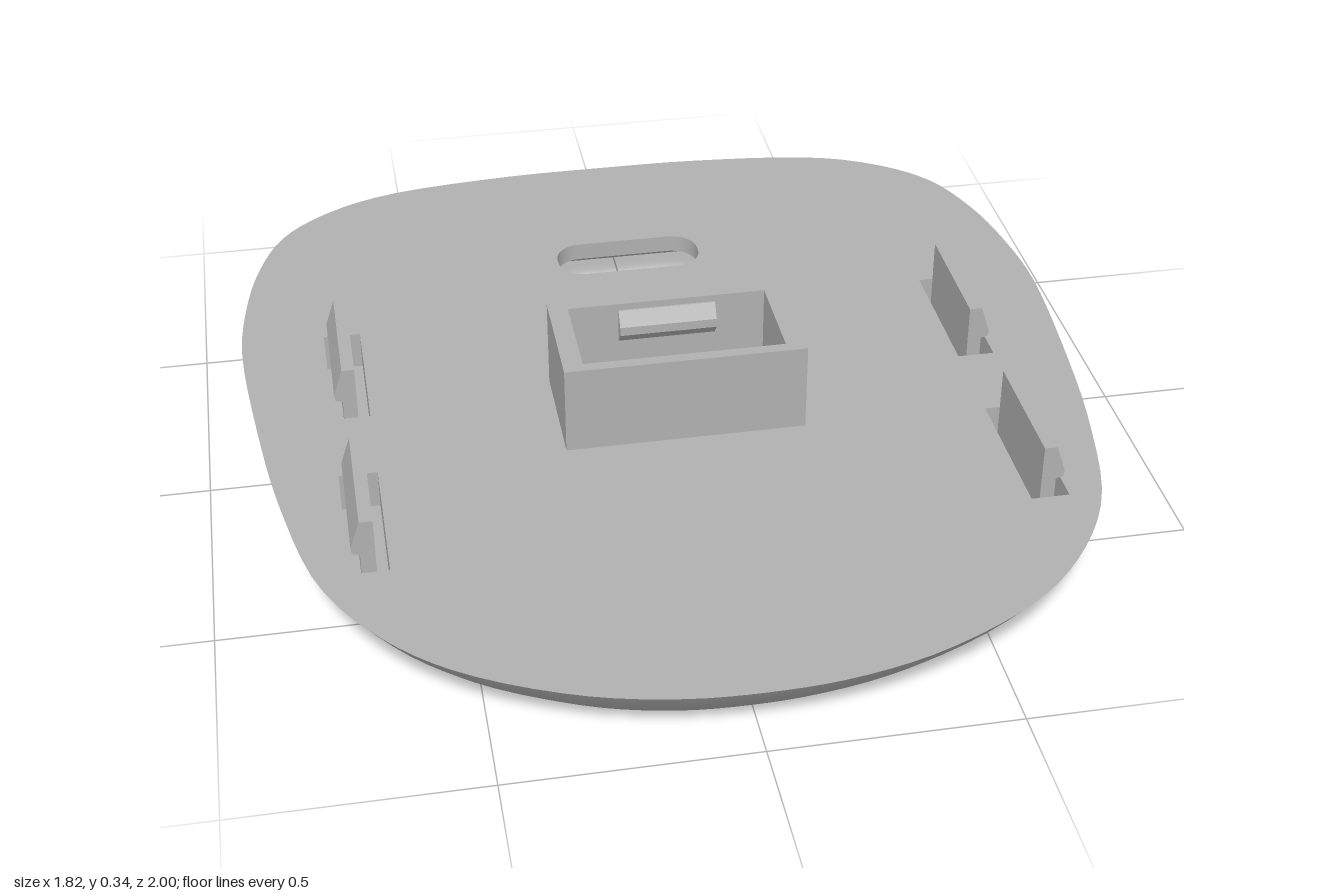
import * as THREE from 'three';
import { toCreasedNormals } from 'three/addons/utils/BufferGeometryUtils.js';

const TOP = 0.145;

// Rounded rectangle as [x, z] points; half sizes a and b, corner radius r
function roundRect(cx, cz, a, b, r = 0) {
  const points = [], steps = r ? 8 : 0;
  [[1, 1], [-1, 1], [-1, -1], [1, -1]].forEach(([sx, sz], q) => {
    for (let i = 0; i <= steps; i++) {
      const t = (q + (steps ? i / steps : 0)) * Math.PI / 2;
      points.push([cx + sx * (a - r) + r * Math.cos(t), cz + sz * (b - r) + r * Math.sin(t)]);
    }
  });
  return points;
}

// Flat horizontal face with holes
function face(y, up, outline, holes = []) {
  const s = up ? -1 : 1;
  const path = (pts) => pts.map(([x, z]) => new THREE.Vector2(x, s * z));
  const shape = new THREE.Shape(path(outline));
  holes.forEach((h) => shape.holes.push(new THREE.Path(path(h))));
  return new THREE.ShapeGeometry(shape).rotateX(s * Math.PI / 2).translate(0, y, 0);
}

// Skin between rings [y, points]: rising rings face inward, falling rings outward
function loft(rings) {
  const pos = [], index = [], n = rings[0][1].length;
  rings.forEach(([y, pts]) => pts.forEach(([x, z]) => pos.push(x, y, z)));
  for (let k = 0; k < rings.length - 1; k++) {
    for (let i = 0; i < n; i++) {
      const a = k * n + i, b = k * n + (i + 1) % n;
      index.push(a, b, b + n, a, b + n, a + n);
    }
  }
  const g = new THREE.BufferGeometry();
  g.setAttribute('position', new THREE.Float32BufferAttribute(pos, 3));
  g.setIndex(index);
  return toCreasedNormals(g, 0.5);
}

function extrude(points, depth) {
  const shape = new THREE.Shape(points.map(([x, y]) => new THREE.Vector2(x, y)));
  return new THREE.ExtrudeGeometry(shape, { depth, bevelEnabled: false }).translate(0, 0, -depth / 2);
}

export function createModel() {
  const model = new THREE.Group();
  const grey = new THREE.MeshStandardMaterial({ color: 0xb0b0b0 });
  grey.name = 'grey plastic';
  const add = (name, geometry) => {
    const mesh = new THREE.Mesh(geometry, grey);
    mesh.name = name;
    model.add(mesh);
    return mesh;
  };

  // Plate outline: one half from front to back, mirrored
  const half = [[0.16, 0.99], [0.345, 0.945], [0.555, 0.84], [0.68, 0.725], [0.785, 0.555], [0.85, 0.29],
    [0.888, 0], [0.91, -0.3], [0.9, -0.45], [0.865, -0.635], [0.8, -0.79], [0.7, -0.885], [0.55, -0.955], [0.25, -0.995]];
  const loop = [[0, 1], ...half.map(([x, z]) => [-x, z]), [0, -1], ...half.slice().reverse()];
  const curve = new THREE.CatmullRomCurve3(loop.map(([x, z]) => new THREE.Vector3(x, 0, z)), true);
  const outline = curve.getPoints(128).slice(0, -1).map((p) => [p.x, p.z]);
  const inset = (t) => outline.map(([x, z]) => [x * (1 - 0.13 * t), z * (1 - 0.11 * t) - 0.02 * t]);

  // Openings
  const slot = roundRect(0, -0.568, 0.167, 0.068, 0.06);
  const slotRecess = roundRect(0, -0.568, 0.41, 0.235, 0.08);
  const slotRecessInner = roundRect(0, -0.568, 0.37, 0.195, 0.06);
  const port = roundRect(0, 0.058, 0.126, 0.066, 0.035);
  const portRecess = roundRect(0, 0.058, 0.21, 0.135, 0.05);
  const portRecessInner = roundRect(0, 0.058, 0.19, 0.115, 0.04);
  const boxOuter = roundRect(0, 0.058, 0.255, 0.132);
  const boxInner = roundRect(0, 0.058, 0.213, 0.107);
  const clipCentres = [];
  for (const side of [1, -1]) for (const z of [-0.172, 0.36]) clipCentres.push([side, z]);
  const clipPockets = clipCentres.map(([side, z]) => roundRect(side * 0.688, z, 0.04, 0.163));

  // Plate
  add('plateTop', face(TOP, true, outline, [slot, boxInner, ...clipPockets]));
  add('plateBottom', face(0, false, inset(1), [slotRecess, portRecess]));
  add('plateSide', loft([[TOP, outline], [0.1, inset(0.25)], [0.05, inset(0.6)], [0, inset(1)]]));

  // Cable slot with its chamfered recess underneath
  add('slotRecessWall', loft([[0, slotRecess], [0.05, slotRecessInner], [0.105, slotRecessInner]]));
  add('slotRecessFloor', face(0.105, false, slotRecessInner, [slot]));
  add('slotWall', loft([[0.105, slot], [TOP, slot]]));

  // Connector box with its port and shallow recess underneath
  add('boxOuterWall', loft([[0.34, boxOuter], [TOP, boxOuter]]));
  add('boxRim', face(0.34, true, boxOuter, [boxInner]));
  add('boxInnerWall', loft([[0.07, boxInner], [0.34, boxInner]]));
  add('boxFloor', face(0.07, true, boxInner, [port]));
  add('portWall', loft([[0.03, port], [0.07, port]]));
  add('portRecessFloor', face(0.03, false, portRecessInner, [port]));
  add('portRecessWall', loft([[0, portRecess], [0.03, portRecessInner]]));

  // Catches on the long inner walls of the box
  const catchProfile = [[-0.005, 0.325], [0.004, 0.325], [0.025, 0.295], [0.025, 0.275], [0.004, 0.25], [-0.005, 0.25]];
  for (const s of [1, -1]) {
    const hook = add(s > 0 ? 'backCatch' : 'frontCatch', extrude(catchProfile, 0.21).rotateY(-s * Math.PI / 2));
    hook.position.z = 0.058 - s * 0.107;
  }

  // Snap clips standing in their pockets
  const clipProfile = [[0.673, 0.06], [0.673, 0.252], [0.7, 0.252], [0.72, 0.192], [0.718, 0.178], [0.703, 0.174], [0.703, 0.06]];
  clipCentres.forEach(([side, z], i) => {
    add('clipPocketWall', loft([[0.06, clipPockets[i]], [TOP, clipPockets[i]]]));
    add('clipPocketFloor', face(0.06, true, clipPockets[i]));
    const clip = add(side > 0 ? 'leftClip' : 'rightClip', extrude(clipProfile.map(([x, y]) => [side * x, y]), 0.285));
    clip.position.z = z;
  });

  return model;
}
